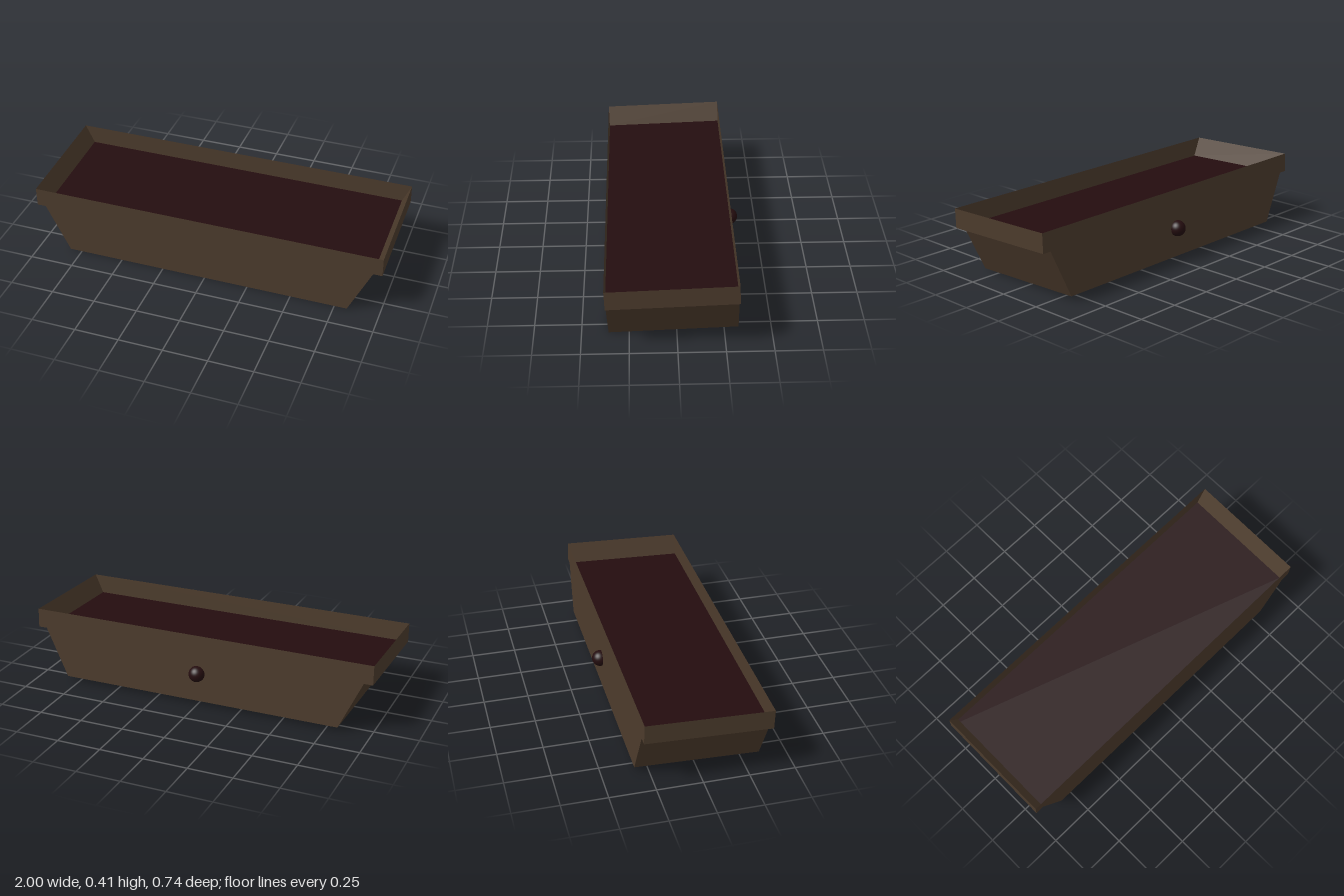
import * as THREE from 'three';

const DEPTH = 0.683, HEIGHT = 0.387, RIM_Y = 0.278; // local tray sizes
const RIM_X = 1, NECK_X = 0.95, BASE_X = 0.82;

const wood = new THREE.MeshStandardMaterial({ color: 0x4c3b2c, side: THREE.DoubleSide });
wood.name = 'brownWood';
const dark = new THREE.MeshStandardMaterial({ color: 0x240d0f, side: THREE.DoubleSide });
dark.name = 'darkMaroon';

// Flat-faced sheet: a line of [x, y] points swept along z
function sheet(points, depth) {
  const pos = [], z = depth / 2;
  for (let i = 0; i < points.length - 1; i++) {
    const [ax, ay] = points[i], [bx, by] = points[i + 1];
    pos.push(ax, ay, z, ax, ay, -z, bx, by, -z);
    pos.push(ax, ay, z, bx, by, -z, bx, by, z);
  }
  const geo = new THREE.BufferGeometry();
  geo.setAttribute('position', new THREE.Float32BufferAttribute(pos, 3));
  geo.computeVertexNormals();
  return geo;
}

export function createModel() {
  const model = new THREE.Group();
  model.name = 'drawerTray';
  const add = (name, geo, mat) => {
    const mesh = new THREE.Mesh(geo, mat);
    mesh.name = name;
    model.add(mesh);
    return mesh;
  };

  // Front and back panels share the full stepped outline
  const half = [[BASE_X, 0], [NECK_X, RIM_Y], [RIM_X, RIM_Y], [RIM_X, HEIGHT]];
  const outline = [...half, ...half.map(([x, y]) => [-x, y]).reverse()];
  const panel = new THREE.ShapeGeometry(new THREE.Shape(outline.map(p => new THREE.Vector2(...p))));
  add('frontPanel', panel, wood).position.z = DEPTH / 2;
  const back = add('backPanel', panel, wood);
  back.position.z = -DEPTH / 2;
  back.rotation.y = Math.PI;

  // Underside, counter-clockwise so that it faces down
  add('bottom', sheet([[BASE_X, 0], [-BASE_X, 0]].reverse(), DEPTH), wood);

  // Sloping ends, upright rims and the slanted inner faces of the rims
  for (const [s, side] of [[1, 'left'], [-1, 'right']]) {
    const line = pts => {
      const p = pts.map(([x, y]) => [s * x, y]);
      return sheet(s > 0 ? p : p.reverse(), DEPTH);
    };
    add(side + 'End', line([[BASE_X, 0], [NECK_X, RIM_Y]]), wood);
    add(side + 'Rim', line([[RIM_X, RIM_Y], [RIM_X, HEIGHT]]), wood);
    add(side + 'RimInside', line([[RIM_X, HEIGHT], [NECK_X, RIM_Y]]), wood);
  }

  // Inner floor, reaching out below the rims
  add('floor', sheet([[RIM_X, RIM_Y], [-RIM_X, RIM_Y]], DEPTH - 0.002), dark);

  // Round knob on the back
  add('knob', new THREE.SphereGeometry(0.045, 32, 20), dark).position.set(0, 0.165, -0.35);

  // The whole tray tips slightly forward
  model.rotation.x = 0.0357;
  model.position.set(0, 0.0125, 0.017);
  const root = new THREE.Group();
  root.name = 'tray';
  root.add(model);
  return root;
}
